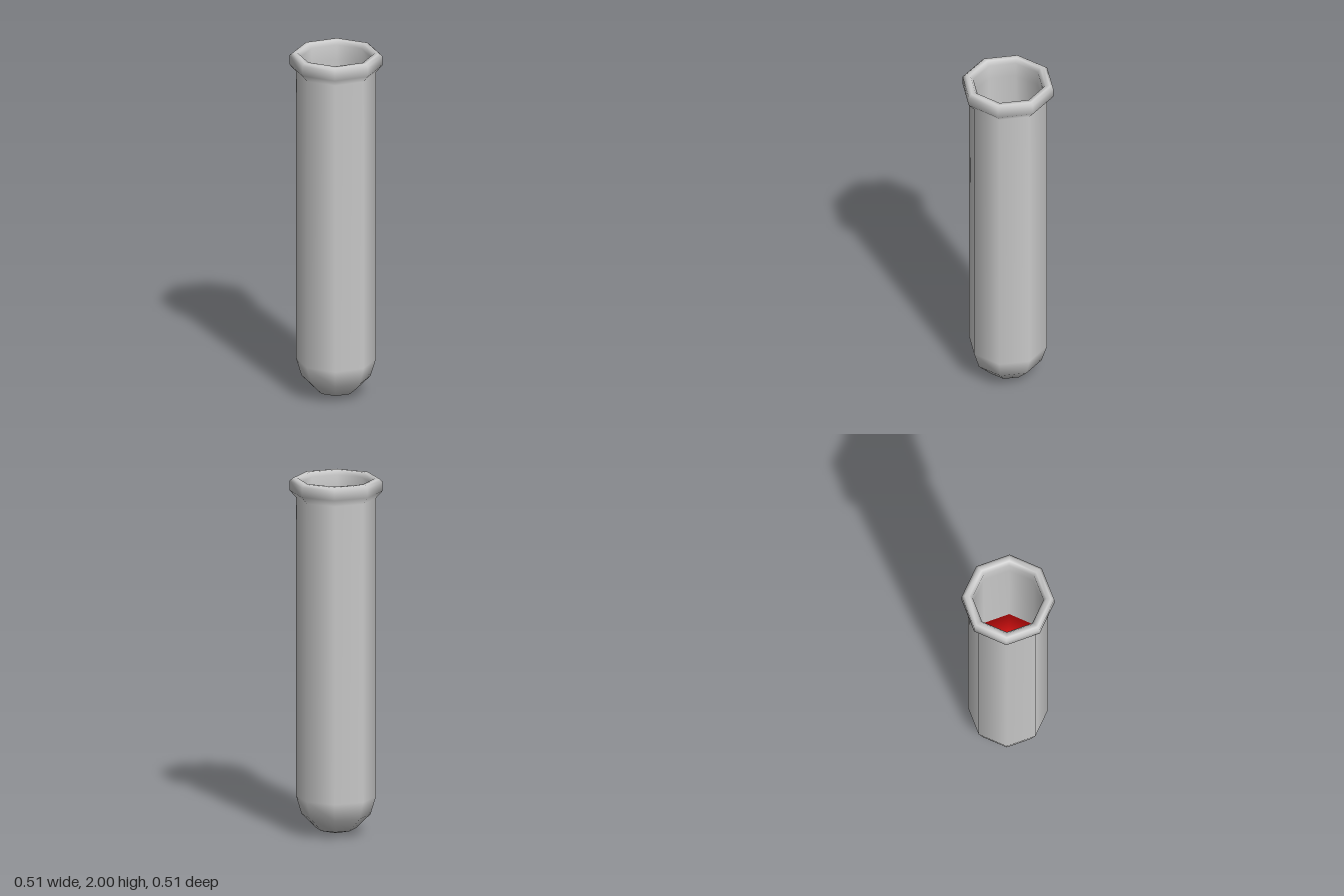
import * as THREE from 'three';

const SIDES = 8;

// Eight-sided turned part from [radius, height] pairs
function turned(name, profile, color) {
  const points = profile.map(([r, y]) => new THREE.Vector2(r, y));
  const mesh = new THREE.Mesh(
    new THREE.LatheGeometry(points, SIDES),
    new THREE.MeshStandardMaterial({ color })
  );
  mesh.name = name;
  return mesh;
}

export function createModel() {
  const group = new THREE.Group();
  group.name = 'testTube';

  // Glass: rounded bottom, straight wall, flared lip, then down the inside
  group.add(turned('glassTube', [
    [0, 0], [0.11, 0.03], [0.19, 0.11], [0.22, 0.21],
    [0.22, 1.89], [0.255, 1.93], [0.255, 1.985], [0.237, 2],
    [0.212, 2], [0.195, 1.975], [0.195, 1.89],
    [0.195, 0.22], [0.168, 0.13], [0.1, 0.06], [0, 0.03],
  ], 0xcccccc));

  // Liquid filling the inside, with a softly shaded top
  group.add(turned('liquid', [
    [0, 0.035], [0.098, 0.065], [0.166, 0.135], [0.193, 0.22],
    [0.193, 1.2], [0, 1.2],
  ], 0xff1010));

  return group;
}
